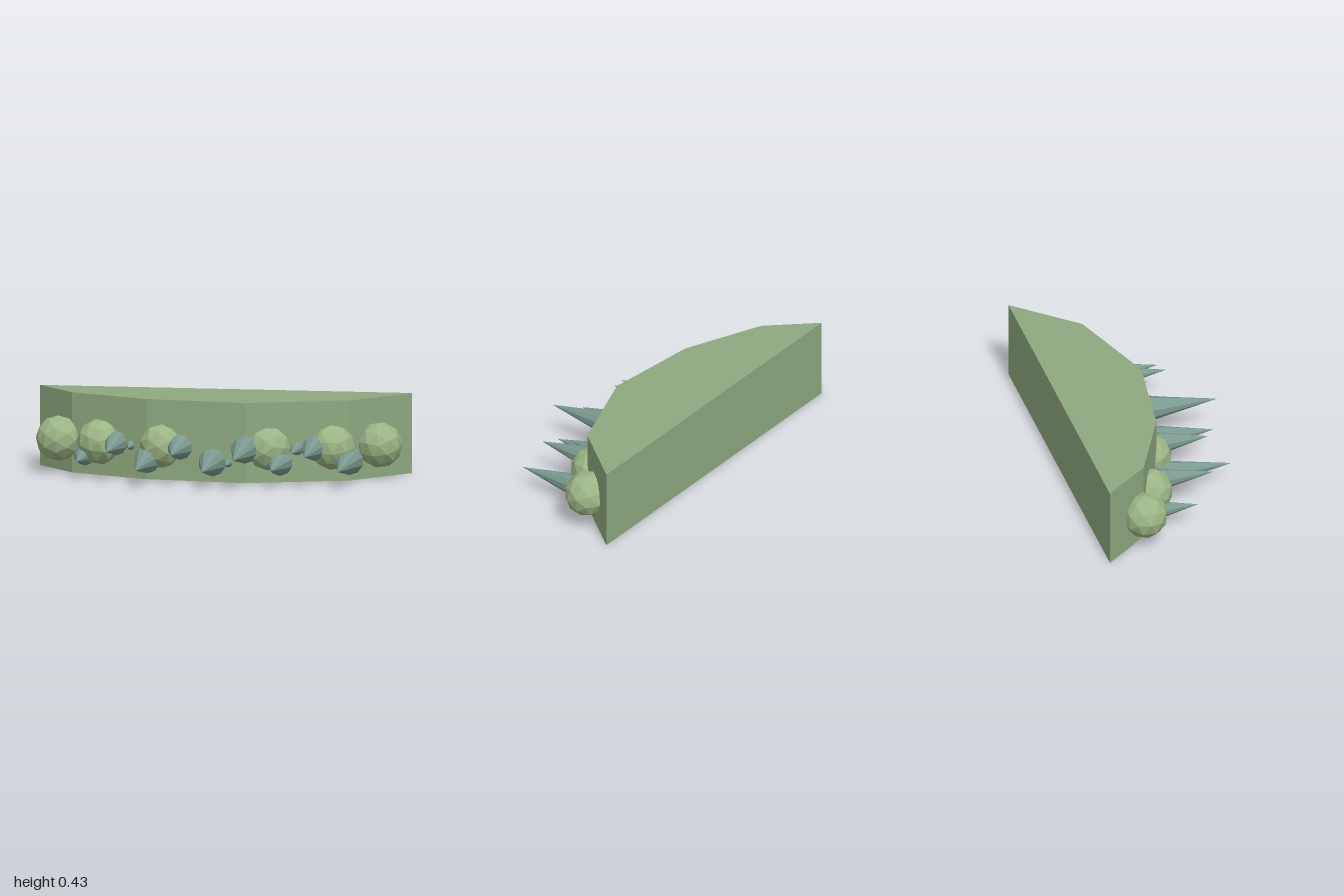
import * as THREE from 'three';

const flat = (name, color) => {
  const m = new THREE.MeshStandardMaterial({ color, flatShading: true });
  m.name = name;
  return m;
};

export function createModel() {
  const model = new THREE.Group();
  const slabGreen = flat('slab green', 0x8fa980);
  const bushGreen = flat('bush green', 0x9cb585);
  const spikeTeal = flat('spike teal', 0x7b9a90);

  const add = (name, geometry, material, x, y, z) => {
    const mesh = new THREE.Mesh(geometry, material);
    mesh.name = name;
    mesh.position.set(x, y, z);
    model.add(mesh);
    return mesh;
  };

  // Slab: straight back, faceted bulging front (plan points as x, z)
  const plan = [[-1, -0.465], [-0.79, -0.22], [-0.36, -0.03], [0.18, 0.037], [0.71, -0.14], [1, -0.465]];
  const shape = new THREE.Shape(plan.map(([x, z]) => new THREE.Vector2(x, -z)));
  const slab = new THREE.ExtrudeGeometry(shape, { depth: 0.43, bevelEnabled: false });
  slab.rotateX(-Math.PI / 2);
  add('slab', slab, slabGreen, 0, 0, 0);

  // Faceted bushes half sunk into the front: x, z
  const bushes = [[-0.865, -0.235], [-0.63, -0.14], [-0.28, -0.05], [0.29, -0.035], [0.625, -0.12], [0.86, -0.245]];
  const bushGeometry = new THREE.IcosahedronGeometry(0.122, 1);
  bushes.forEach(([x, z], i) => {
    add('bush', bushGeometry, bushGreen, x, 0.18, z).rotation.set(i * 1.3, i * 2.1, i * 0.7);
  });

  // Spikes pointing forward: x, y, base z, tip z, radius
  const spikes = [
    [-0.715, 0.105, -0.185, 0.1, 0.062],
    [-0.535, 0.18, -0.105, 0.235, 0.067],
    [-0.357, 0.105, -0.03, 0.385, 0.073],
    [-0.178, 0.18, -0.008, 0.305, 0.07],
    [0, 0.105, 0.013, 0.385, 0.076],
    [0.178, 0.18, 0.035, 0.455, 0.075],
    [0.357, 0.105, -0.02, 0.295, 0.07],
    [0.535, 0.18, -0.08, 0.275, 0.07],
    [0.713, 0.105, -0.143, 0.277, 0.075],
    [-0.45, 0.175, -0.07, 0.03, 0.026],
    [0.087, 0.105, 0.024, 0.12, 0.024],
    [0.445, 0.18, -0.05, 0.15, 0.037],
  ];
  for (const [x, y, base, tip, r] of spikes) {
    const cone = new THREE.ConeGeometry(r, tip - base, 10);
    cone.rotateX(Math.PI / 2);
    add('spike', cone, spikeTeal, x, y, (base + tip) / 2);
  }
  return model;
}
